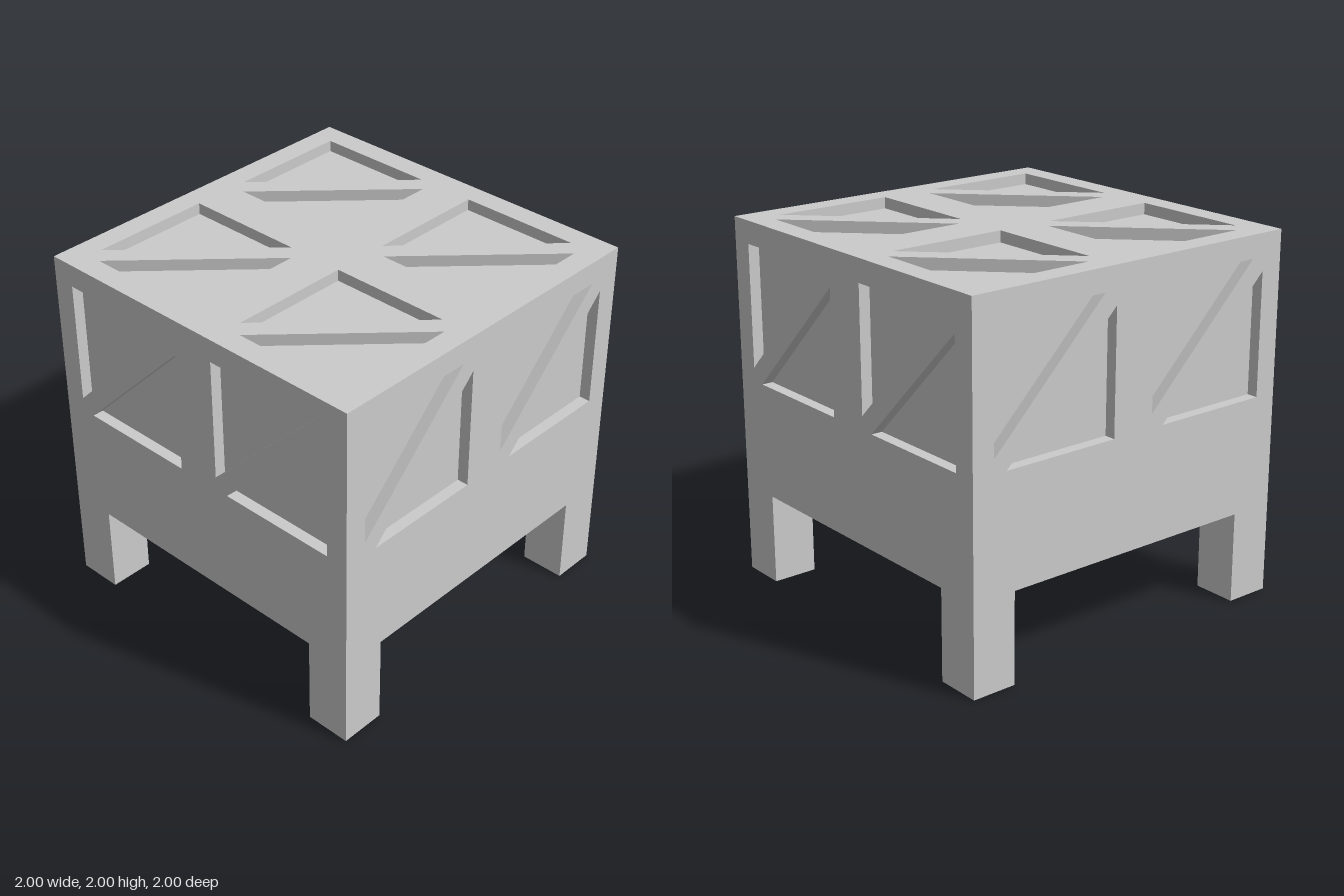
import * as THREE from 'three';

const DEPTH = 0.0625;  // recess depth
const CELL = 0.75;     // side of a recessed square
const LEG = 0.675;     // short side of each triangular recess

const material = new THREE.MeshStandardMaterial({ color: 0xcccccc, flatShading: true });

function addMesh(parent, name, geometry, x = 0, y = 0, z = 0) {
  const mesh = new THREE.Mesh(geometry, material);
  mesh.name = name;
  mesh.position.set(x, y, z);
  parent.add(mesh);
  return mesh;
}

const polygon = (points, Type) => new Type(points.map(([x, y]) => new THREE.Vector2(x, y)));

// Rectangular plate with a pair of triangular openings, split by a diagonal bar, per cell
function panelGeometry(x0, y0, x1, y1, rows) {
  const shape = polygon([[x0, y0], [x1, y0], [x1, y1], [x0, y1]], THREE.Shape);
  for (const b of rows) {
    for (const l of [-0.875, 0.125]) {
      const r = l + CELL, t = b + CELL;
      shape.holes.push(
        polygon([[l, t], [l + LEG, t], [l, t - LEG]], THREE.Path),
        polygon([[r, b], [r - LEG, b], [r, b + LEG]], THREE.Path));
    }
  }
  return new THREE.ExtrudeGeometry(shape, { depth: DEPTH, bevelEnabled: false });
}

export function createModel() {
  const model = new THREE.Group();
  model.name = 'crateTable';

  // Solid core whose faces are the floors of the recesses
  const inner = 2 - 2 * DEPTH, height = 1.5 - DEPTH;
  addMesh(model, 'core', new THREE.BoxGeometry(inner, height, inner), 0, 0.5 + height / 2, 0);

  // Side panels, each butting against the next around the body
  const side = panelGeometry(-1, 0.5, 1 - DEPTH, 2 - DEPTH, [1.125]);
  ['frontPanel', 'leftPanel', 'backPanel', 'rightPanel'].forEach((name, i) => {
    const holder = new THREE.Group();
    holder.name = name;
    holder.rotation.y = i * Math.PI / 2;
    addMesh(holder, name + 'Plate', side, 0, 0, 1 - DEPTH);
    model.add(holder);
  });

  // Top panel with two rows of recesses
  const top = addMesh(model, 'topPanel', panelGeometry(-1, -1, 1, 1, [-0.875, 0.125]), 0, 2 - DEPTH, 0);
  top.rotation.x = -Math.PI / 2;

  // Square corner legs
  const leg = new THREE.BoxGeometry(0.25, 0.5, 0.25);
  for (const x of [-1, 1]) {
    for (const z of [-1, 1]) {
      const name = (z > 0 ? 'front' : 'back') + (x > 0 ? 'Left' : 'Right') + 'Leg';
      addMesh(model, name, leg, x * 0.875, 0.25, z * 0.875);
    }
  }
  return model;
}
